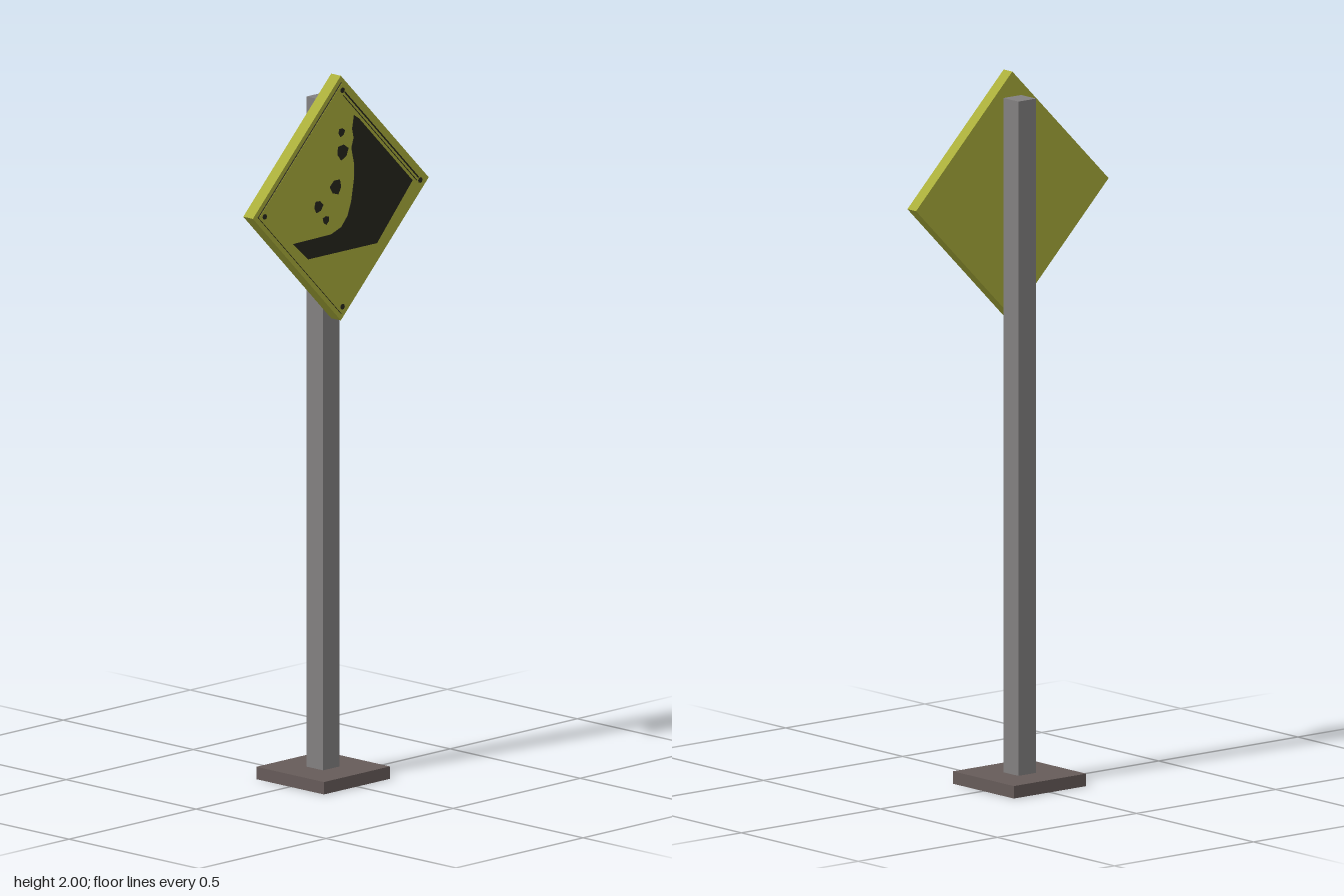
import * as THREE from 'three';

const paint = (name, color) => {
  const m = new THREE.MeshStandardMaterial({ color });
  m.name = name;
  return m;
};

export function createModel() {
  const yellow = paint('signYellow', 0xa9ad3a);
  const black = paint('symbolBlack', 0x26251c);
  const steel = paint('postGrey', 0x828080);
  const brown = paint('baseBrown', 0x665b59);

  const model = new THREE.Group();
  model.name = 'warningSign';
  const add = (name, geometry, material, x, y, z, parent = model) => {
    const mesh = new THREE.Mesh(geometry, material);
    mesh.name = name;
    mesh.position.set(x, y, z);
    parent.add(mesh);
    return mesh;
  };

  // Base plate and square post
  add('base', new THREE.BoxGeometry(0.26, 0.035, 0.26), brown, 0, 0.0175, 0);
  add('post', new THREE.BoxGeometry(0.064, 1.895, 0.064), steel, 0, 0.9825, -0.001);

  // Diamond board, with a raised panel that has dark edges and a yellow face
  const sign = new THREE.Group();
  sign.name = 'sign';
  sign.position.set(0, 1.654, 0);
  model.add(sign);
  const diamond = (name, halfDiagonal, z0, z1, material) => {
    const side = halfDiagonal * Math.SQRT2;
    const mesh = add(name, new THREE.BoxGeometry(side, side, z1 - z0), material, 0, 0, (z0 + z1) / 2, sign);
    mesh.rotation.z = Math.PI / 4;
  };
  diamond('board', 0.346, 0.031, 0.068, yellow);
  diamond('panelEdge', 0.327, 0.068, 0.073, black);
  diamond('panelFace', 0.328, 0.073, 0.074, yellow);

  // Painted details lie just in front of the panel
  const faceZ = 0.074;
  const plate = (name, points, x = 0, y = 0) => {
    const shape = new THREE.Shape(points.map(([px, py]) => new THREE.Vector2(px, py)));
    const geometry = new THREE.ExtrudeGeometry(shape, { depth: 0.0015, bevelEnabled: false });
    add(name, geometry, black, x, y, faceZ, sign);
  };

  // Cliff with a curved, rocky slope
  plate('cliff', [
    [0.045, 0.228], [0.065, 0.215], [0.275, 0.005], [0.135, -0.149], [-0.135, -0.149],
    [-0.195, -0.096], [-0.045, -0.094], [-0.005, -0.08], [0.02, -0.052], [0.034, -0.015],
    [0.045, 0.045], [0.046, 0.09], [0.035, 0.137], [0.044, 0.165], [0.038, 0.19],
  ]);

  // Falling rocks: x, y, radius, turn
  const rocks = [
    [-0.004, 0.188, 0.013, 0.2], [0, 0.132, 0.023, 0.3], [-0.026, 0.037, 0.023, 0.9],
    [-0.095, -0.007, 0.018, 0.1], [-0.065, -0.05, 0.013, 0.6],
  ];
  rocks.forEach(([x, y, r, turn], i) => {
    const points = [];
    for (let k = 0; k < 6; k++) {
      const a = turn + (k * Math.PI) / 3;
      const reach = r * (k % 2 ? 0.88 : 1.05);
      points.push([Math.cos(a) * reach, Math.sin(a) * reach]);
    }
    plate(`rock${i + 1}`, points, x, y);
  });

  // Corner bolts
  for (const [x, y] of [[0, 0.306], [0, -0.306], [0.306, 0], [-0.306, 0]]) {
    const bolt = add('bolt', new THREE.CylinderGeometry(0.008, 0.008, 0.0015, 8), black, x, y, faceZ + 0.00075, sign);
    bolt.rotation.x = Math.PI / 2;
  }

  // Fine double border line along the upper right edge
  for (const [offset, width] of [[0.218, 0.004], [0.208, 0.002]]) {
    const line = add('borderLine', new THREE.BoxGeometry(0.41, width, 0.001), black,
      offset * Math.SQRT1_2, offset * Math.SQRT1_2, faceZ + 0.0005, sign);
    line.rotation.z = -Math.PI / 4;
  }

  return model;
}
